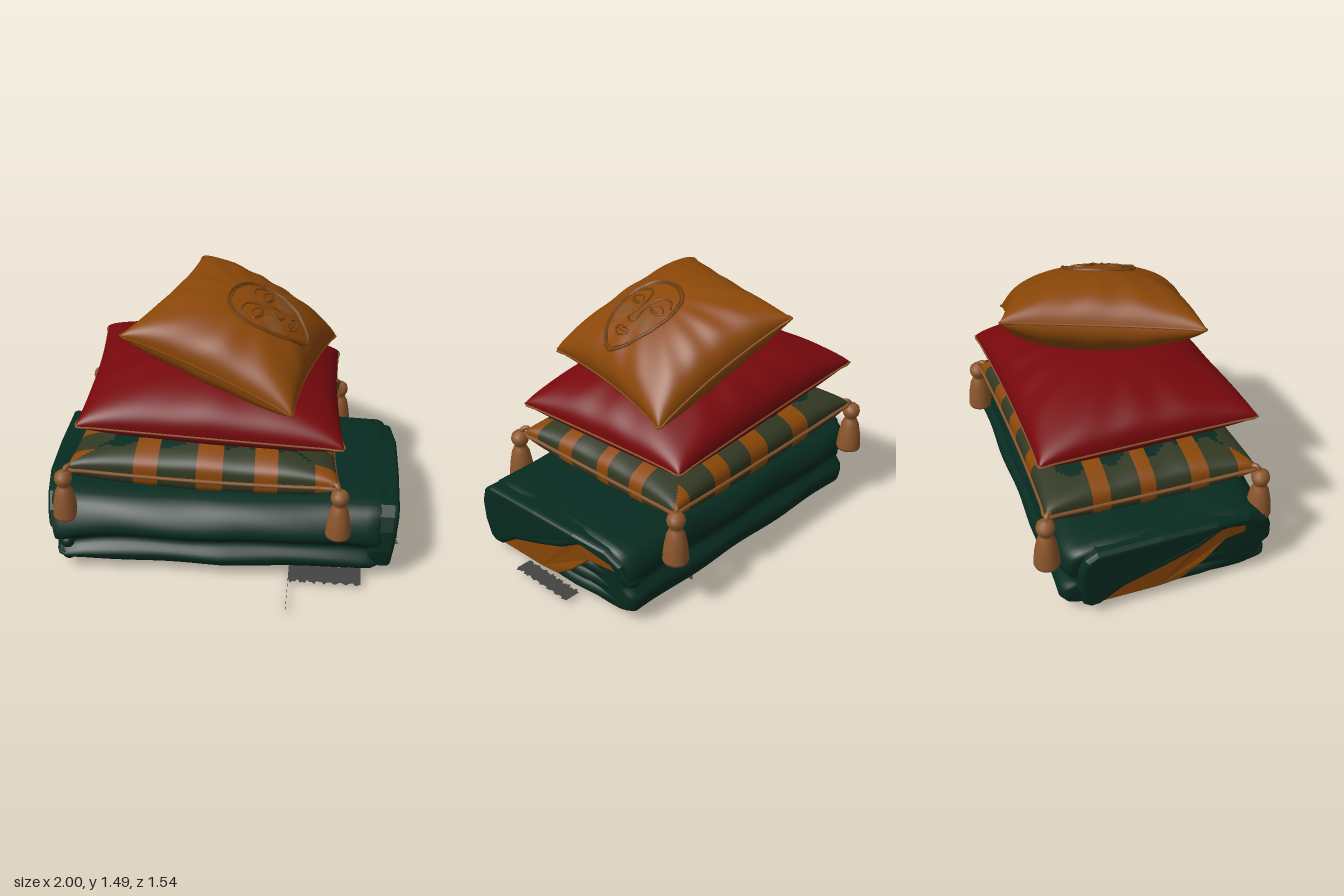
import * as THREE from 'three';

const mat = (name, color, side = THREE.FrontSide) => {
  const m = new THREE.MeshStandardMaterial({ color, side });
  m.name = name;
  return m;
};

export function createModel() {
  const green = mat('dark green cloth', 0x072b20);
  const olive = mat('olive stripe', 0x313822);
  const orange = mat('orange cloth', 0x8b4708);
  const red = mat('red cloth', 0x77080c);
  const tan = mat('tan cord', 0x8c562c);
  const line = mat('face line', 0x74400e);
  const cheekTone = mat('cheek tan', 0x835022);
  const grey = mat('grey scrap', 0x444442, THREE.DoubleSide);
  const greyTop = mat('grey sheet', 0x444442);

  const root = new THREE.Group();
  const add = (name, geo, material, parent = root) => {
    const mesh = new THREE.Mesh(geo, material);
    mesh.name = name;
    parent.add(mesh);
    return mesh;
  };
  const V = (x, y, z) => new THREE.Vector3(x, y, z);

  // Cushion surface: four corners (-s-t, +s-t, +s+t, -s+t), padded up and down
  function cushionSurface(c, { up, down, pinch, power, sag = 0, wrinkle = 0.03 }) {
    const u = c[1].clone().add(c[2]).sub(c[0]).sub(c[3]);
    const v = c[2].clone().add(c[3]).sub(c[0]).sub(c[1]);
    const n = v.clone().cross(u).normalize();
    return (s, t, side, lift = 0) => {
      const ps = s * (1 - pinch * (1 - t * t)), pt = t * (1 - pinch * (1 - s * s));
      const a = (1 + ps) / 2, b = (1 + pt) / 2;
      const p = c[0].clone().lerp(c[1], a).lerp(c[3].clone().lerp(c[2], a), b);
      const dome = Math.max(0, (1 - s * s) * (1 - t * t));
      const r = Math.max(Math.abs(s), Math.abs(t));
      const folds = 1 + wrinkle * r * r * Math.sin(13 * Math.atan2(t, s) + 3 * s);
      const h = (side > 0 ? up : -down) * Math.pow(dome, power) * folds;
      p.y -= sag * (1 - s * s * t * t);
      return p.addScaledVector(n, h + lift);
    };
  }

  // Cushion mesh of two padded faces; pick(s, t) gives the material index
  function cushion(name, surface, materials, pick = () => 0) {
    const N = 64, pos = [], buckets = materials.map(() => []);
    const at = i => Math.sin((i / N - 0.5) * Math.PI);
    for (const side of [1, -1]) {
      const base = pos.length / 3;
      for (let i = 0; i <= N; i++) for (let j = 0; j <= N; j++) pos.push(...surface(at(i), at(j), side).toArray());
      for (let i = 0; i < N; i++) for (let j = 0; j < N; j++) {
        const a = base + i * (N + 1) + j, b = a + 1, d = a + N + 1, c = d + 1;
        const out = buckets[pick(at(i + 0.5), at(j + 0.5))];
        if (side > 0) out.push(a, b, c, a, c, d);
        else out.push(a, c, b, a, d, c);
      }
    }
    const geo = new THREE.BufferGeometry();
    geo.setAttribute('position', new THREE.Float32BufferAttribute(pos, 3));
    geo.setIndex(buckets.flat());
    let start = 0;
    buckets.forEach((b, k) => { geo.addGroup(start, b.length, k); start += b.length; });
    geo.computeVertexNormals();
    add(name, geo, materials);
  }

  // Cord along the seam of a cushion
  function piping(name, surface, radius, material) {
    const pts = [], K = 14;
    const corners = [[-1, -1], [1, -1], [1, 1], [-1, 1]];
    corners.forEach(([s, t], k) => {
      const [s2, t2] = corners[(k + 1) % 4];
      for (let i = 0; i < K; i++) pts.push(surface(s + (s2 - s) * i / K, t + (t2 - t) * i / K, 1));
    });
    add(name, new THREE.TubeGeometry(new THREE.CatmullRomCurve3(pts, true), 160, radius, 6, true), material);
  }

  // Folded blanket: side profile (z, y) swept along x, with soft closed ends
  const lean = y => 0.955 + 0.1 * y;
  const profile = new THREE.CatmullRomCurve3([
    [0.46, 0.06], [0.515, 0.13], [0.465, 0.215], [0.535, 0.29], [0.5, 0.38], [0.4, 0.45], [0, 0.46], [-0.45, 0.46],
    [-0.6, 0.42], [-0.645, 0.32], [-0.6, 0.235], [-0.65, 0.16], [-0.62, 0.07], [0, 0.055],
  ].map(([z, y]) => V(0, y, z)), true).getPoints(84);
  const stations = [[-0.95, 0], [-0.95, 0.6], [-0.95, 0.9], [-0.935, 0.96], [-0.89, 1]];
  for (let x = -0.8; x < 0.81; x += 0.08) stations.push([x, 1]);
  stations.push([0.86, 1], [0.895, 0.96], [0.905, 0.9], [0.905, 0.6], [0.905, 0]);
  const bp = [], bi = [], M = profile.length;
  stations.forEach(([x, k], i) => {
    profile.forEach((p, j) => {
      let z = -0.06 + (p.z + 0.06) * k, y = 0.26 + (p.y - 0.26) * k;
      if (z > 0) z *= 1 - 0.15 * Math.max(0, x);
      if (p.z > 0.3) y -= 0.1 * x ** 6 * Math.sin(Math.PI * Math.min(1, Math.max(0, (p.y - 0.06) / 0.36)));
      z += 0.006 * Math.sin(9 * x + 14 * p.y) * k;
      bp.push(x * lean(y), y, z);
      if (i && j) {
        const d = i * M + j, c = d - 1, a = c - M, b = d - M;
        bi.push(a, c, d, a, d, b);
      }
    });
  });
  const blanketGeo = new THREE.BufferGeometry();
  blanketGeo.setAttribute('position', new THREE.Float32BufferAttribute(bp, 3));
  blanketGeo.setIndex(bi);
  blanketGeo.computeVertexNormals();
  add('foldedBlanket', blanketGeo, green);

  // Blanket ends: draped flap, orange lining and stacked folds, repeated by a half turn
  const slant = geo => {
    const p = geo.attributes.position;
    for (let i = 0; i < p.count; i++) {
      p.setX(i, p.getX(i) * lean(p.getY(i)) - 0.13 * Math.max(0, -p.getZ(i) - 0.25));
    }
    geo.computeVertexNormals();
    return geo;
  };
  const slab = (pts, x, depth, bevel) => {
    const geo = new THREE.ExtrudeGeometry(new THREE.Shape(pts.map(([z, y]) => new THREE.Vector2(-z, y))), {
      depth, bevelThickness: bevel, bevelSize: bevel, bevelOffset: -bevel, bevelSegments: 3,
    });
    return slant(geo.rotateY(Math.PI / 2).translate(x, 0, 0));
  };
  const flapGeo = slab([[0.38, 0.06], [0.42, 0.09], [0.445, 0.2], [0.44, 0.33], [0.41, 0.41], [0.35, 0.45], [0, 0.462],
    [-0.3, 0.462], [-0.5, 0.44], [-0.6, 0.38], [-0.635, 0.28], [-0.58, 0.3], [-0.5, 0.385], [-0.33, 0.4],
    [-0.2, 0.32], [0, 0.235], [0.2, 0.16], [0.33, 0.065]], 0.86, 0.085, 0.028);
  const liningGeo = slab([[0.36, 0.065], [0.2, 0.175], [0, 0.25], [-0.2, 0.335], [-0.33, 0.41], [-0.5, 0.395],
    [-0.56, 0.34], [-0.54, 0.31], [-0.37, 0.305], [-0.25, 0.19], [-0.12, 0.09], [0, 0.072]], 0.88, 0.06, 0.01);
  function blanketEnd(name) {
    const end = new THREE.Group();
    end.name = name;
    add('drapedFlap', flapGeo, green, end);
    add('lining', liningGeo, orange, end);
    for (let i = 0; i < 4; i++) {
      const fold = new THREE.CapsuleGeometry(0.042, 0.56 - 0.07 * i, 6, 14, 8).rotateX(Math.PI / 2);
      add('foldLayer', slant(fold.translate(0.9 - 0.004 * i, 0.1 + 0.075 * i, -0.31 - 0.035 * i)), green, end);
    }
    root.add(end);
    return end;
  }
  blanketEnd('rightBlanketEnd');
  const otherEnd = blanketEnd('leftBlanketEnd');
  otherEnd.rotation.y = Math.PI;
  otherEnd.position.set(-0.03, 0, -0.12);

  // Striped cushion: green centre, olive border crossed by orange stripes
  const striped = cushionSurface([V(-0.84, 0.635, -0.69), V(0.62, 0.6, -0.69), V(0.63, 0.6, 0.44), V(-0.83, 0.635, 0.45)],
    { up: 0.175, down: 0.135, pinch: 0.045, power: 0.27, sag: 0.035 });
  cushion('stripedCushion', striped, [green, olive, orange], (s, t) => {
    const r = Math.max(Math.abs(s), Math.abs(t));
    const alongX = Math.abs(t) > Math.abs(s), k = alongX ? s : t;
    const centres = alongX ? [-0.43, 0.05, 0.48, 0.92] : [-0.47, -0.02, 0.47, 0.92];
    if (centres.some(c => Math.abs(k - c) < 0.085)) return r > 0.66 ? 2 : 0;
    return r > 0.76 + 0.05 * Math.sin(17 * k) ? 1 : 0;
  });
  piping('stripedPiping', striped, 0.011, tan);

  // Tassels at the four corners
  const tasselGeo = new THREE.LatheGeometry([[0, 0], [0.066, 0], [0.07, 0.015], [0.063, 0.09], [0.05, 0.16],
    [0.036, 0.19], [0.032, 0.2], [0.036, 0.208], [0.046, 0.225], [0.05, 0.245], [0.044, 0.27], [0.024, 0.288], [0, 0.29],
  ].map(([x, y]) => new THREE.Vector2(x, y)), 20);
  for (const [x, z] of [[-0.85, 0.47], [0.64, 0.475], [0.62, -0.7], [-0.86, -0.7]]) {
    const tassel = new THREE.Group();
    tassel.name = 'tassel';
    tassel.position.set(x, x < 0 ? 0.345 : 0.322, z);
    add('tasselBody', tasselGeo, tan, tassel);
    const knot = add('tasselKnot', new THREE.TorusGeometry(0.024, 0.014, 8, 16), tan, tassel);
    knot.position.set(-0.025 * Math.sign(x), 0.285, -0.025 * Math.sign(z));
    knot.rotation.y = x * z > 0 ? -0.8 : 0.8;
    root.add(tassel);
  }

  // Red cushion, sloping down to the right
  const redSurface = cushionSurface([V(-0.8, 0.925, -0.7), V(0.6, 0.82, -0.7), V(0.65, 0.815, 0.4), V(-0.76, 0.92, 0.47)],
    { up: 0.25, down: 0.12, pinch: 0.035, power: 0.38, sag: 0.015 });
  cushion('redCushion', redSurface, [red]);
  piping('redPiping', redSurface, 0.006, tan);

  // Orange pillow, tilted on top
  const pillow = cushionSurface([V(-0.21, 1.4, -0.72), V(0.575, 1.01, -0.54), V(0.37, 1.03, 0.44), V(-0.54, 1.355, 0.26)],
    { up: 0.25, down: 0.19, pinch: 0.075, power: 0.41, wrinkle: 0.04 });
  cushion('orangePillow', pillow, [orange]);
  piping('pillowPiping', pillow, 0.007, orange);

  // Embroidered face: lines laid on the pillow in face coordinates (a across, b up)
  const onFace = (a, b, lift) => pillow(0.26 - 0.57 * b, 0.05 - 0.43 * a, 1, lift);
  const stitch = (name, pts, closed = false, radius = 0.006) => {
    const flat = new THREE.CatmullRomCurve3(pts.map(([a, b]) => V(a, b, 0)), closed).getPoints(pts.length * 5);
    if (closed) flat.pop();
    const curve = new THREE.CatmullRomCurve3(flat.map(p => onFace(p.x, p.y, 0.002)), closed);
    add(name, new THREE.TubeGeometry(curve, flat.length * 2, radius, 6, closed), line);
  };
  const outline = [[-0.96, 0.35], [-0.72, 0.8], [0, 1], [0.72, 0.8], [0.96, 0.35], [0.84, -0.25], [0.42, -0.78],
    [0, -0.98], [-0.42, -0.78], [-0.84, -0.25]];
  stitch('faceOutline', outline, true, 0.008);
  stitch('faceInnerOutline', outline.map(([a, b]) => [a * 0.93, b * 0.94]), true, 0.004);
  for (const m of [-1, 1]) {
    stitch('brow', [[0.8, 0.42], [0.55, 0.58], [0.28, 0.54], [0.13, 0.34], [0.1, 0.05], [0.16, -0.2], [0.06, -0.28]].map(([a, b]) => [a * m, b]));
    stitch('eye', [[0.2, 0.22], [0.45, 0.36], [0.72, 0.25], [0.45, 0.12]].map(([a, b]) => [a * m, b]), true, 0.004);
    stitch('eyelid', [[0.24, 0.2], [0.46, 0.17], [0.68, 0.24]].map(([a, b]) => [a * m, b]), false, 0.005);
    const cheek = new THREE.RingGeometry(0.001, 1, 20, 4), p = cheek.attributes.position;
    for (let i = 0; i < p.count; i++) {
      const q = onFace(0.5 * m + 0.27 * p.getX(i), -0.16 + 0.24 * p.getY(i), 0.003);
      p.setXYZ(i, q.x, q.y, q.z);
    }
    cheek.computeVertexNormals();
    add('cheek', cheek, cheekTone);
  }
  stitch('noseTip', [[-0.16, -0.2], [0, -0.28], [0.16, -0.2]]);
  stitch('lips', [[-0.27, -0.51], [-0.1, -0.44], [0, -0.47], [0.1, -0.44], [0.27, -0.51], [0, -0.64]], true, 0.005);
  stitch('mouth', [[-0.26, -0.51], [0, -0.54], [0.26, -0.51]], false, 0.004);

  // Ragged grey scraps beneath the blanket
  const ragged = (w, h, n) => {
    const geo = new THREE.PlaneGeometry(w, h, n, 1), p = geo.attributes.position;
    for (let i = 0; i < p.count; i++) p.setY(i, p.getY(i) * (0.78 + 0.22 * Math.sin(i * 2.3) * Math.cos(i * 0.9)));
    return geo;
  };
  add('groundStrip', ragged(1.37, 0.044, 60).rotateY(Math.PI / 2), grey).position.set(0.38, 0.022, 0.085);
  add('groundSheet', ragged(0.4, 0.2, 30).rotateX(-Math.PI / 2), greyTop).position.set(0.58, 0.03, 0.45);
  add('groundSideSheet', ragged(0.4, 0.12, 30).rotateX(-Math.PI / 2).rotateY(Math.PI / 2), greyTop).position.set(0.94, 0.03, -0.06);
  return root;
}
